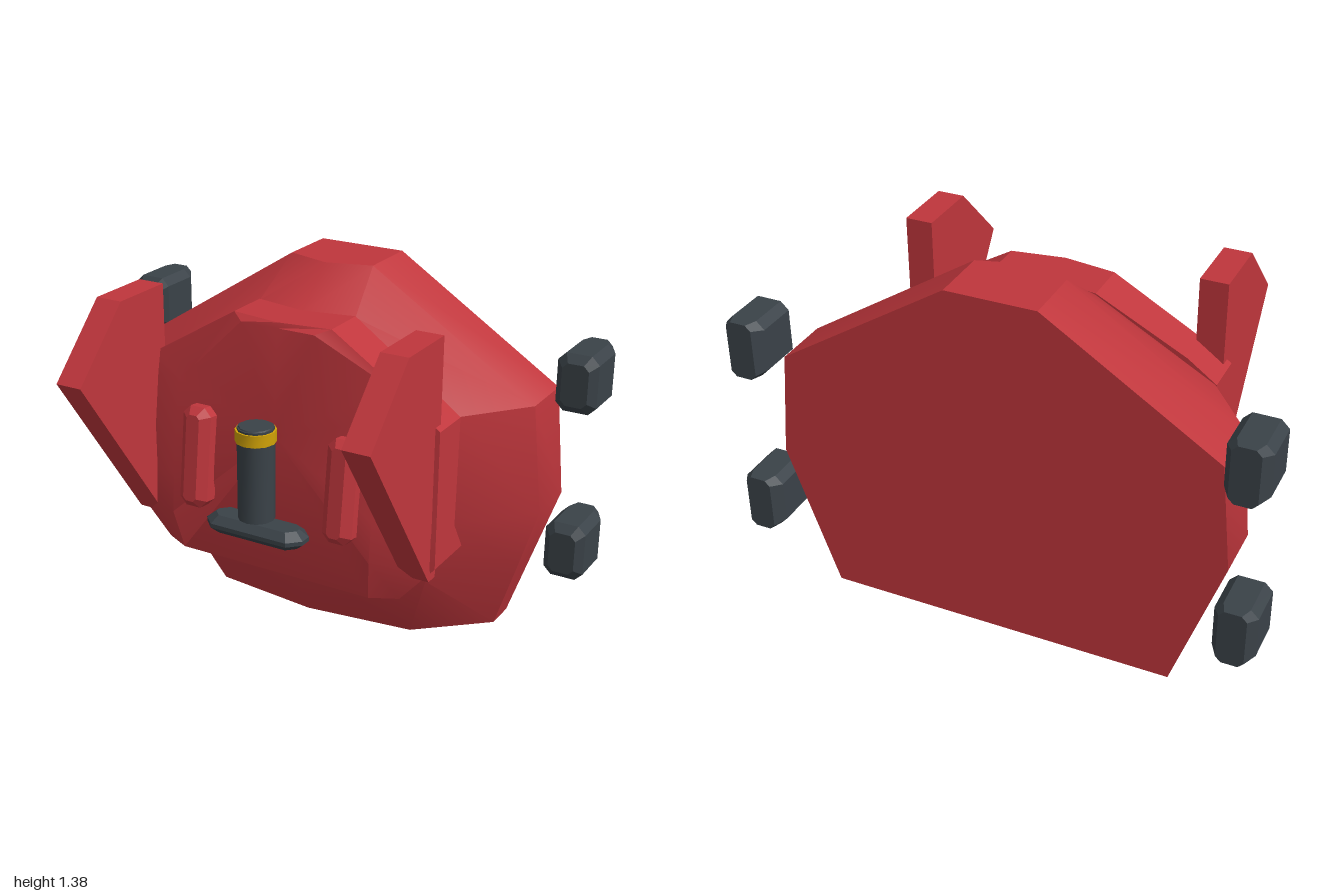
import * as THREE from 'three';
import { toCreasedNormals } from 'three/addons/utils/BufferGeometryUtils.js';

// Closed solid from rings ordered back to front, each counterclockwise seen from +z
function loft(rings, crease = 0.1) {
  const pos = [];
  const tri = (a, b, c) => {
    const u = new THREE.Vector3(...b).sub(new THREE.Vector3(...a));
    const v = new THREE.Vector3(...c).sub(new THREE.Vector3(...a));
    if (u.cross(v).length() > 1e-7) pos.push(...a, ...b, ...c);
  };
  const n = rings[0].length;
  const centre = (r) => [0, 1, 2].map((k) => r.reduce((s, p) => s + p[k], 0) / n);
  const last = rings[rings.length - 1];
  const c0 = centre(rings[0]), c1 = centre(last);
  for (let i = 0; i < n; i++) {
    const j = (i + 1) % n;
    for (let k = 0; k < rings.length - 1; k++) {
      const r = rings[k], s = rings[k + 1];
      tri(r[i], r[j], s[j]);
      tri(r[i], s[j], s[i]);
    }
    tri(c0, rings[0][j], rings[0][i]);
    tri(c1, last[i], last[j]);
  }
  const geo = new THREE.BufferGeometry();
  geo.setAttribute('position', new THREE.Float32BufferAttribute(pos, 3));
  return toCreasedNormals(geo, crease);
}

// Completes a half ring (listed bottom to top at +x) with its mirror image
const mirrored = (half) => [...half, ...half.slice().reverse().map(([x, y, z]) => [-x, y, z])];

// Rectangle with cut corners
function octagon(w, h, cut, z) {
  const a = w / 2, b = h / 2;
  return [[a - cut, -b], [a, -b + cut], [a, b - cut], [a - cut, b],
    [cut - a, b], [-a, b - cut], [-a, cut - b], [cut - a, -b]].map(([x, y]) => [x, y, z]);
}

export function createModel() {
  const group = new THREE.Group();
  const material = (name, color) => {
    const m = new THREE.MeshStandardMaterial({ color });
    m.name = name;
    return m;
  };
  const red = material('red', 0xbf363c);
  const dark = material('darkGrey', 0x3a4248);
  const yellow = material('yellow', 0xd0a206);
  const add = (name, geo, mat, x = 0, y = 0, z = 0) => {
    const mesh = new THREE.Mesh(geo, mat);
    mesh.name = name;
    mesh.position.set(x, y, z);
    group.add(mesh);
    return mesh;
  };

  // Main shell: flat back, sloping shoulders and chin
  add('shell', loft([
    [[0, 0, -0.48], [0.67, 0, -0.48], [0.77, 0.29, -0.48], [0.86, 0.55, -0.48],
      [0.82, 0.96, -0.48], [0.17, 1.375, -0.48], [0, 1.375, -0.48]],
    [[0, 0, -0.3], [0.67, 0, -0.36], [0.77, 0.29, -0.32], [0.86, 0.55, -0.27],
      [0.82, 0.96, -0.26], [0.17, 1.375, -0.25], [0, 1.375, -0.2]],
    [[0, 0, -0.09], [0.42, 0, -0.14], [0.53, 0.29, -0.03], [0.63, 0.55, -0.03],
      [0.635, 0.96, -0.03], [0.2, 1.235, -0.07], [0, 1.235, -0.03]],
    [[0, 0, -0.09], [0, 0, -0.09], [0, 0.29, 0.05], [0, 0.55, 0.05],
      [0, 0.96, 0.05], [0, 1.23, 0], [0, 1.23, 0]],
  ].map(mirrored), 0.55), red);

  // Raised front block
  add('frontBlock', loft([
    [[0.5, 0.28, -0.06], [0.64, 0.44, -0.09], [0.64, 0.55, -0.02], [0.64, 0.96, -0.03],
      [0.53, 1.04, -0.03], [0.2, 1.24, -0.07], [0, 1.24, -0.03]],
    [[0.5, 0.28, 0.12], [0.64, 0.44, 0.13], [0.64, 0.55, 0.13], [0.64, 0.96, 0.13],
      [0.53, 1.04, 0.12], [0.2, 1.24, 0.1], [0, 1.24, 0.13]],
    [[0.4, 0.28, 0.17], [0.42, 0.44, 0.21], [0.42, 0.6, 0.195], [0.42, 0.96, 0.145],
      [0.35, 1.02, 0.14], [0.15, 1.22, 0.135], [0, 1.22, 0.135]],
  ].map(mirrored), 0.5), red);

  // Pointed side fins, profile drawn as (z, y)
  const finShape = new THREE.Shape([[0.09, 0.39], [0.14, 0.39], [0.595, 1.04], [0.345, 1.29], [0.09, 1.29]]
    .map(([z, y]) => new THREE.Vector2(z, y)));
  const finGeo = new THREE.ExtrudeGeometry(finShape, { depth: 0.105, bevelEnabled: false });
  finGeo.translate(0, 0, -0.0525).rotateY(-Math.PI / 2);

  // Bevelled ribs and corner pads
  const ribGeo = loft([octagon(0.12, 0.385, 0.03, -0.05), octagon(0.12, 0.385, 0.03, 0),
    octagon(0.055, 0.33, 0.012, 0.03)]);
  const padGeo = loft([octagon(0.1, 0.22, 0.02, -0.115), octagon(0.155, 0.22, 0.03, -0.07),
    octagon(0.155, 0.22, 0.03, 0.085), octagon(0.1, 0.16, 0.02, 0.115)]);
  for (const [side, s] of [['left', 1], ['right', -1]]) {
    add(side + 'Fin', finGeo, red, s * 0.57);
    add(side + 'Rib', ribGeo, red, s * 0.305, 0.693, 0.217).rotation.x = -0.12;
    add(side + 'UpperPad', padGeo, dark, s * 0.92, 1.02, -0.478);
    add(side + 'LowerPad', padGeo, dark, s * 0.92, 0.36, -0.478);
  }

  // Central post with a yellow band above a small shelf
  add('post', toCreasedNormals(new THREE.CylinderGeometry(0.068, 0.068, 0.35, 12), 0.6), dark, 0, 0.725, 0.28);
  add('postBand', toCreasedNormals(new THREE.CylinderGeometry(0.075, 0.075, 0.045, 12), 0.6), yellow, 0, 0.87, 0.28);
  add('postCap', toCreasedNormals(new THREE.CylinderGeometry(0.06, 0.068, 0.014, 12), 0.6), dark, 0, 0.897, 0.28);
  add('shelf', loft([octagon(0.34, 0.08, 0.03, -0.035), octagon(0.405, 0.135, 0.045, -0.008),
    octagon(0.405, 0.135, 0.045, 0.008), octagon(0.34, 0.08, 0.03, 0.035)]), dark, 0, 0.502, 0.277)
    .rotation.x = -Math.PI / 2;

  return group;
}
